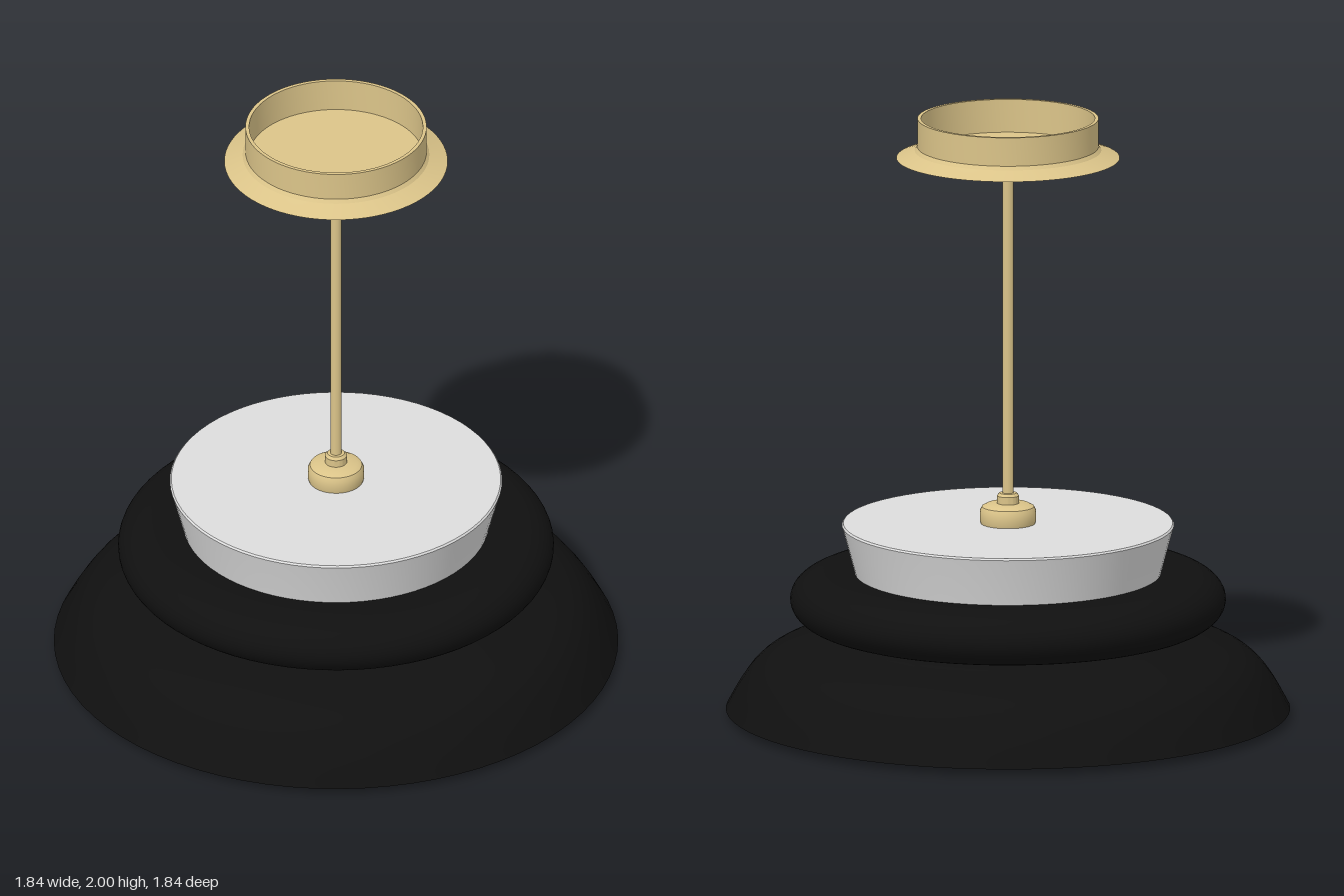
import * as THREE from 'three';
import { toCreasedNormals } from 'three/addons/utils/BufferGeometryUtils.js';

const SEGMENTS = 72;

function material(name, color) {
  const m = new THREE.MeshStandardMaterial({ color });
  m.name = name;
  return m;
}

// Smooth curve through a few [radius, height] points
function smooth(points, divisions) {
  const curve = new THREE.SplineCurve(points.map(([r, y]) => new THREE.Vector2(r, y)));
  return curve.getPoints(divisions).map((p) => [Math.max(p.x, 0), p.y]);
}

// Turned part: profile runs bottom to top on its outside
function turned(name, profile, mat, segments = SEGMENTS) {
  const lathe = new THREE.LatheGeometry(profile.map(([r, y]) => new THREE.Vector2(r, y)), segments);
  const mesh = new THREE.Mesh(toCreasedNormals(lathe, 0.5), mat);
  mesh.name = name;
  return mesh;
}

export function createModel() {
  const brass = material('brass', 0xdbc489);
  const black = material('black', 0x101010);
  const copper = material('copper', 0xb87349);
  const glass = material('opal glass', 0xdcdcdc);

  const lamp = new THREE.Group();
  lamp.name = 'pendantLamp';

  // Ceiling canopy: open cup with a flared foot
  lamp.add(turned('canopy', [
    [0, 1.868], [0.365, 1.868], [0.33, 1.882], [0.305, 1.893], [0.296, 1.905],
    [0.296, 2], [0.284, 2], [0.284, 1.89], [0, 1.89],
  ], brass));

  // Stem and its stepped collar
  lamp.add(turned('stem', [[0.018, 0.72], [0.018, 1.87]], brass, 24));
  lamp.add(turned('collar', [
    [0, 0.642], [0.088, 0.642], [0.092, 0.655], [0.092, 0.688], [0.085, 0.702],
    [0.07, 0.71], [0.036, 0.713], [0.036, 0.738], [0.028, 0.747], [0, 0.749],
  ], brass, 40));

  // Upper glass: tapered drum with a flat lid
  lamp.add(turned('upperGlass', [
    [0.495, 0.46], [0.505, 0.5], [0.54, 0.63], [0.543, 0.64], [0.538, 0.646], [0, 0.646],
  ], glass));

  // Black ring with a rounded rim
  const rim = [];
  for (let i = 0; i <= 20; i++) {
    const a = -Math.PI / 2 + (Math.PI * i) / 20;
    rim.push([0.595 + 0.117 * Math.cos(a), 0.393 + 0.088 * Math.sin(a)]);
  }
  lamp.add(turned('ring', [[0.44, 0.305], ...rim, [0.44, 0.481]], black));
  lamp.add(turned('neck', [[0.45, 0.28], [0.45, 0.32]], black));

  // Bell shade: black outside, copper inside
  const bell = smooth([
    [0.922, 0.026], [0.875, 0.11], [0.825, 0.175], [0.765, 0.218],
    [0.68, 0.25], [0.58, 0.279],
  ], 28);
  lamp.add(turned('shade', [
    [0.908, 0.026], ...bell, [0.56, 0.29], [0.44, 0.294],
  ], black));
  const lining = bell.map(([r, y], i) => [r - 0.014, y - 0.012 * Math.min(1, i / 6)]).reverse();
  lamp.add(turned('shadeLining', [[0.3, 0.282], [0.54, 0.277], ...lining], copper));

  // Lower glass: shallow dished base and bulging sides
  lamp.add(turned('lowerGlass', [
    [0, 0.004], [0.36, 0.004], [0.49, 0.03],
    ...smooth([[0.5, 0.034], [0.545, 0.07], [0.567, 0.13], [0.552, 0.195], [0.49, 0.25], [0.4, 0.28]], 24),
  ], glass));

  return lamp;
}
